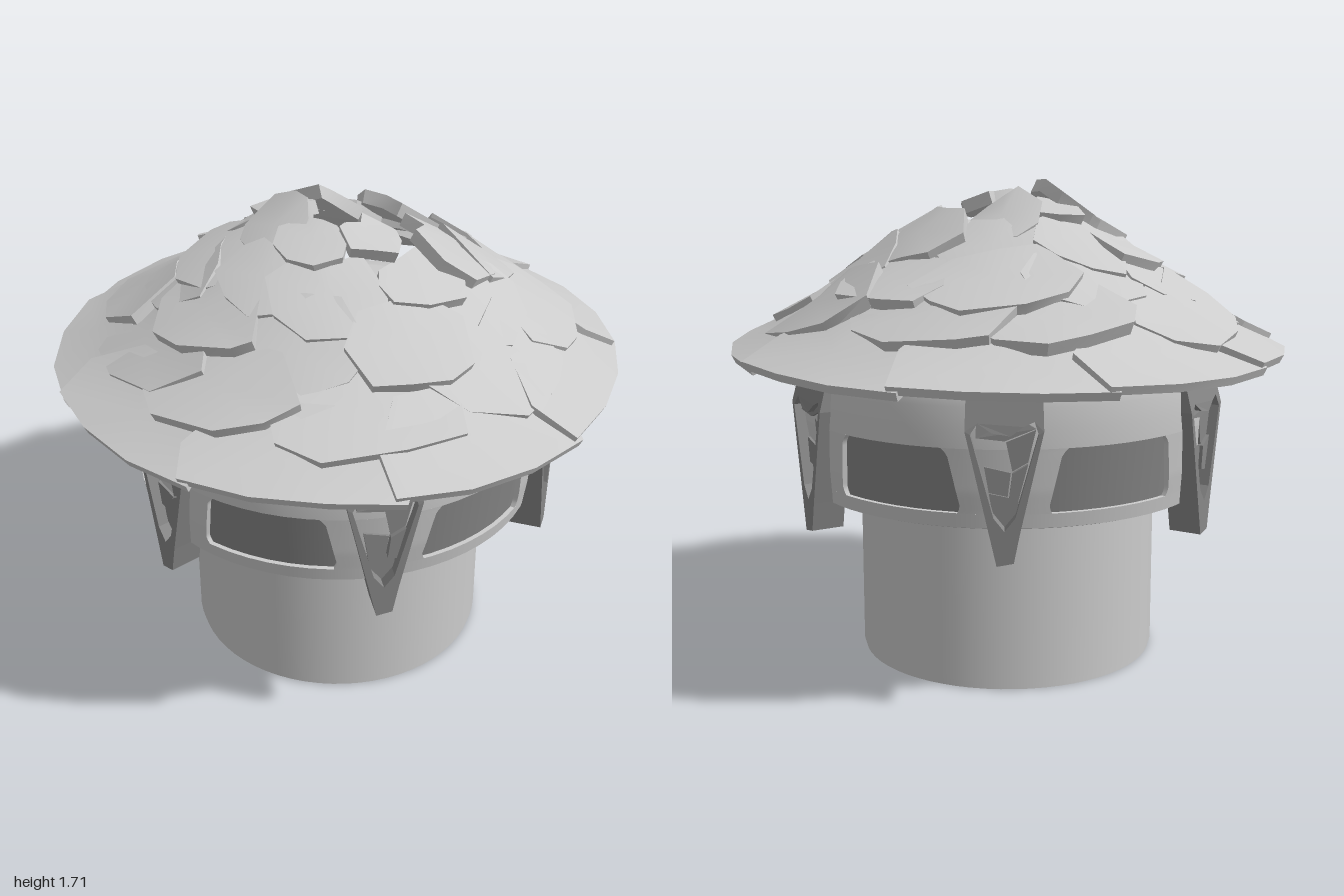
import * as THREE from 'three';
import { toCreasedNormals } from 'three/addons/utils/BufferGeometryUtils.js';

const grey = (color, flatShading) => new THREE.MeshStandardMaterial({ color, flatShading, side: THREE.DoubleSide });
const smooth = grey(0xcccccc, false);
const darkPanel = grey(0x888888, false);
const darkStone = grey(0x888888, true);

let seed = 29;
const rand = () => (seed = (seed * 16807) % 2147483647) / 2147483647;
const jitter = (s) => (rand() - 0.5) * 2 * s;

function add(parent, name, geometry, material) {
  const mesh = new THREE.Mesh(geometry, material);
  mesh.name = name;
  parent.add(mesh);
  return mesh;
}

// Each pair of profile points gets its own band, so the corners stay crisp
function crispLathe(parent, name, points, material = smooth) {
  const group = new THREE.Group();
  group.name = name;
  for (let i = 0; i < points.length - 1; i++) {
    const pair = [points[i], points[i + 1]].map(([r, y]) => new THREE.Vector2(r, y));
    add(group, name + 'Band', new THREE.LatheGeometry(pair, 64), material);
  }
  parent.add(group);
}

// Linear interpolation along [x, y] pairs
function interpolate(table, x) {
  for (let i = 1; i < table.length; i++) {
    const [x0, y0] = table[i - 1], [x1, y1] = table[i];
    if (x <= x1 || i === table.length - 1) return y0 + (y1 - y0) * (x - x0) / (x1 - x0);
  }
}

const drumRadius = (y) => interpolate([[0.62, 0.715], [0.75, 0.738], [0.9, 0.755]], y);
const roofHeight = (r) => interpolate(
  [[0.1, 1.66], [0.2, 1.61], [0.4, 1.495], [0.6, 1.35], [0.8, 1.215], [0.9, 1.165], [1.0, 1.12]], r);

// Base cylinder with an inset foot and a grooved underside around a bore
function addBase(parent) {
  const profile = [[0.13, 0.3], [0.15, 0]];
  for (let i = 0; i < 9; i++) {
    const r = 0.15 + i * 0.041;
    profile.push([r + 0.02, 0], [r + 0.023, 0.012], [r + 0.038, 0.012], [r + 0.041, 0]);
  }
  profile.push([0.53, 0], [0.53, 0.025], [0.537, 0.025], [0.537, 0.62]);
  crispLathe(parent, 'base', profile);
  add(parent, 'boreCap', new THREE.CylinderGeometry(0.13, 0.13, 0.01, 32), smooth).position.y = 0.3;
}

// Curved pier between two windows, narrow below, wide above, flared at the window corners
function pierGeometry(angle) {
  const geometry = new THREE.BoxGeometry(1, 1, 1, 8, 16, 1);
  const p = geometry.attributes.position;
  for (let i = 0; i < p.count; i++) {
    const t = p.getY(i) + 0.5, y = 0.675 + 0.22 * t;
    const flare = 1.2 * Math.max(0, Math.abs(t - 0.5) - 0.4) / 0.1;
    const a = angle - p.getX(i) * 2 * THREE.MathUtils.degToRad(11 + 3.5 * t + flare);
    const r = drumRadius(y) - (p.getZ(i) > 0 ? 0 : 0.04);
    p.setXYZ(i, r * Math.cos(a), y, r * Math.sin(a));
  }
  geometry.computeVertexNormals();
  return geometry;
}

// Drum: lower and upper rims, piers, recessed window wall and closed top
function addDrum(parent) {
  crispLathe(parent, 'drumLowerRim', [[0.53, 0.62], [0.7, 0.62], [0.717, 0.626], [0.725, 0.675], [0.69, 0.675]]);
  crispLathe(parent, 'windowPanels', [[0.708, 0.67], [0.738, 0.9]], darkPanel);
  crispLathe(parent, 'windowLintel', [[0.72, 0.895], [0.755, 0.895]]);
  const upper = [[0.755, 0.895], [0.757, 0.96], [0.753, 1.03], [0.745, 1.09], [0.72, 1.12], [0.64, 1.14]]
    .map(([r, y]) => new THREE.Vector2(r, y));
  add(parent, 'drumUpperRim', new THREE.LatheGeometry(upper, 64), smooth);
  crispLathe(parent, 'drumTop', [[0.64, 1.14], [0.17, 1.16], [0.17, 1.19], [0.155, 1.19], [0.155, 1.17],
    [0.095, 1.17], [0.095, 1.19], [0.055, 1.19], [0.055, 1.16], [0, 1.16]]);
  for (let k = 0; k < 6; k++) add(parent, 'windowPier', pierGeometry(k * Math.PI / 3), smooth);
}

const shapeOf = (points) => new THREE.Shape(points.map(([x, y]) => new THREE.Vector2(x, y)));

// Extrusion from z0 to z1 that leans back above the drum windows
function extrudeBetween(shape, z0, z1) {
  const geometry = new THREE.ExtrudeGeometry(shape, { depth: z1 - z0, bevelEnabled: false }).translate(0, 0, z0);
  const p = geometry.attributes.position;
  for (let i = 0; i < p.count; i++) p.setZ(i, p.getZ(i) - 0.27 * Math.max(0, p.getY(i) - 0.96));
  return geometry;
}

// Pointed bracket: thin tapering frame, solid hood and a broken-stone infill
function makeBracket() {
  const group = new THREE.Group();
  group.name = 'bracket';
  const frame = shapeOf([[-0.025, 0.52], [0.03, 0.53], [0.05, 0.63], [0.125, 0.96], [0.122, 1.06], [0.1, 1.11],
    [-0.1, 1.11], [-0.122, 1.06], [-0.125, 0.96], [-0.05, 0.63]]);
  frame.holes.push(shapeOf([[0, 0.635], [-0.035, 0.68], [-0.108, 0.95], [-0.085, 0.985], [-0.04, 0.955], [0.02, 0.945],
    [0.06, 0.975], [0.095, 0.99], [0.108, 0.95], [0.035, 0.68]]));
  add(group, 'bracketFrame', extrudeBetween(frame, 0.67, 0.785), darkStone);
  const stones = [
    [[-0.04, 0.69], [0, 0.64], [0.04, 0.69], [0.045, 0.73], [-0.05, 0.75]],
    [[-0.05, 0.755], [0.01, 0.742], [0.02, 0.82], [-0.065, 0.84]],
    [[0.015, 0.74], [0.045, 0.735], [0.075, 0.85], [0.025, 0.82]],
    [[-0.065, 0.845], [0.02, 0.826], [0.0, 0.92], [-0.085, 0.93]],
    [[0.025, 0.825], [0.075, 0.855], [0.1, 0.96], [0.005, 0.92]],
    [[-0.09, 0.935], [0.0, 0.925], [0.1, 0.965], [0.04, 1.0], [-0.09, 1.0]],
  ];
  stones.forEach((s, i) => add(group, 'infillStone', extrudeBetween(shapeOf(s), 0.7, 0.745 + 0.01 * (i % 3)), darkStone));
  return group;
}

// Roof slab: an irregular outline in polar coordinates, laid on the roof slope with its own tilt
function slabGeometry({ angle, width, rIn, rOut, lift, pitch, roll, thick, isEave }) {
  const mid = (rIn + rOut) / 2, outline = [];
  if (isEave) for (let i = 0; i <= 3; i++) outline.push([-0.51 + 0.34 * i, rOut - 0.012 * rand()]);
  else for (const [u, dr] of [[-0.42, -0.03], [-0.14, 0.02], [0.16, 0.02], [0.42, -0.03]])
    outline.push([u + jitter(0.07), rOut + dr + jitter(0.025)]);
  outline.push([0.57 + jitter(0.08), mid + jitter(0.04)], [0.4, rIn + jitter(0.03)], [0, rIn + jitter(0.03)],
    [-0.4, rIn + jitter(0.03)], [-0.57 + jitter(0.08), mid + jitter(0.04)]);
  const place = ([u, r], down) => {
    const a = angle + u * width, rr = r - 0.45 * down;
    const y = roofHeight(r) + lift + pitch * (r - mid) / (rOut - rIn) + roll * u - 0.9 * down;
    return [rr * Math.cos(a), y, rr * Math.sin(a)];
  };
  const n = outline.length, v = [], c = [0, mid];
  for (let i = 0; i < n; i++) {
    const a = outline[i], b = outline[(i + 1) % n];
    const a1 = place(a, 0), b1 = place(b, 0), a2 = place(a, thick), b2 = place(b, thick);
    v.push(...place(c, 0), ...b1, ...a1, ...place(c, thick), ...a2, ...b2);
    v.push(...a1, ...b1, ...b2, ...a1, ...b2, ...a2);
  }
  const geometry = new THREE.BufferGeometry();
  geometry.setAttribute('position', new THREE.Float32BufferAttribute(v, 3));
  return toCreasedNormals(geometry, 0.7);
}

// Overlapping slab rings from the eave up to the open crown
function addRoof(parent) {
  const roof = new THREE.Group();
  roof.name = 'roof';
  const rings = [[9, 0.7, 1.0], [9, 0.57, 0.85], [9, 0.42, 0.68], [8, 0.27, 0.52], [7, 0.13, 0.33]];
  rings.forEach(([count, rIn, rOut], ring) => {
    const step = 2 * Math.PI / count, isEave = ring === 0, isCrown = ring === 4;
    for (let i = 0; i < count; i++) {
      const angle = i * step + ring * 0.41 + (isEave ? 0 : jitter(0.1));
      // The crown is broken open at the back left
      if (isCrown && Math.cos(angle + Math.PI / 4) > 0.8) continue;
      const slab = {
        angle, rIn, isEave,
        width: step * (isEave ? 1.03 : 1.12 + jitter(0.12)),
        rOut: rOut - (isEave ? 0 : 0.05 * rand()),
        lift: isEave ? 0 : 0.03 * rand() + (isCrown ? 0.02 * rand() : 0),
        pitch: isEave ? 0 : 0.015 + jitter(0.045),
        roll: isEave ? 0.02 : jitter(isCrown ? 0.07 : 0.05),
        thick: isEave ? 0.032 : 0.048,
      };
      add(roof, 'roofSlab', slabGeometry(slab), smooth);
    }
  });
  parent.add(roof);
}

export function createModel() {
  const model = new THREE.Group();
  model.name = 'roundTower';
  addBase(model);
  addDrum(model);
  for (let k = 0; k < 6; k++) {
    const bracket = makeBracket();
    bracket.rotation.y = Math.PI / 2 + k * Math.PI / 3;
    model.add(bracket);
  }
  addRoof(model);
  return model;
}
